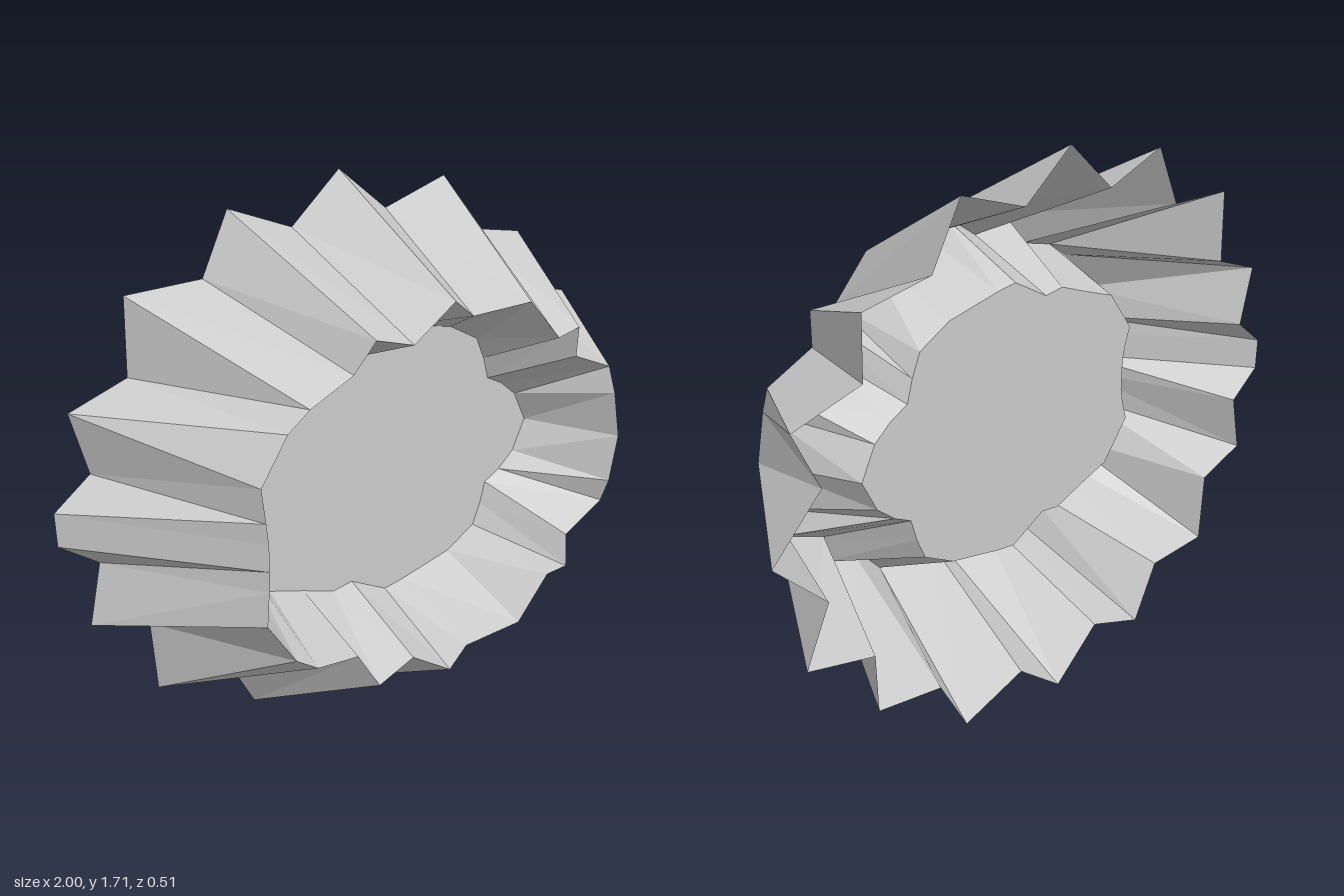
import * as THREE from 'three';

const MID = 0.855, BACK = -0.26, FLOOR = -0.06;

// Upper half, from the left tip over the top to the right tip:
// [outer x, y, rim x, y, z, floor x, y], y measured from the middle
const half = [
  [-1, 0.05, -0.645, 0.04, 0.24, -0.53, 0.05],
  [-0.885, 0.135, -0.65, 0.1, 0.24, -0.54, 0.1],
  [-0.93, 0.32, -0.66, 0.2, 0.24, -0.56, 0.16],
  [-0.75, 0.38, -0.58, 0.33, 0.25, -0.51, 0.225],
  [-0.74, 0.605, -0.51, 0.38, 0.25, -0.46, 0.29],
  [-0.5, 0.61, -0.345, 0.425, 0.215, -0.34, 0.33],
  [-0.41, 0.79, -0.3, 0.52, 0.255, -0.23, 0.37],
  [-0.2, 0.71, -0.17, 0.48, 0.25, -0.16, 0.36],
  [-0.03, 0.855, -0.03, 0.575, 0.255, -0.03, 0.43],
  [0.14, 0.72, 0.04, 0.52, 0.25, 0.04, 0.42],
  [0.37, 0.79, 0.26, 0.52, 0.25, 0.23, 0.38],
  [0.47, 0.61, 0.38, 0.39, 0.25, 0.34, 0.32],
  [0.695, 0.57, 0.48, 0.4, 0.235, 0.37, 0.25],
  [0.7, 0.39, 0.495, 0.3, 0.215, 0.39, 0.18],
  [0.92, 0.33, 0.66, 0.23, 0.205, 0.45, 0.15],
  [0.84, 0.16, 0.66, 0.15, 0.235, 0.51, 0.1],
  [1, 0, 0.685, 0, 0.24, 0.56, 0],
];

// Full loop: upper half, then its mirror image without the shared right tip
const mirrored = half.slice(0, -1).reverse().map(([a, b, c, d, z, e, f]) => [a, -b, c, -d, z, e, -f]);
const loop = [...half, ...mirrored];
const ring = (k, z) => loop.map(p => new THREE.Vector3(p[k], MID + p[k + 1], z(p)));

// Band of quads between two closed rings
function band(a, b) {
  const pts = [], n = a.length;
  for (let i = 0; i < n; i++) {
    const j = (i + 1) % n;
    pts.push(a[i], b[i], a[j], a[j], b[i], b[j]);
  }
  const geo = new THREE.BufferGeometry().setFromPoints(pts);
  geo.computeVertexNormals();
  return geo;
}

export function createModel() {
  const group = new THREE.Group();
  group.name = 'flutedCap';
  const material = new THREE.MeshStandardMaterial({ color: 0xcccccc, flatShading: true, side: THREE.DoubleSide });
  const add = (name, geo) => {
    const mesh = new THREE.Mesh(geo, material);
    mesh.name = name;
    group.add(mesh);
    return mesh;
  };

  const outer = ring(0, () => BACK);
  const rim = ring(2, p => p[4]);
  const inner = ring(5, () => FLOOR);

  // Flared pleated skirt, then the wall folding back in to the floor
  add('pleatedSkirt', band(rim, outer));
  add('innerWall', band(inner, rim));

  // Flat recessed floor
  const shape = new THREE.Shape(inner.map(p => new THREE.Vector2(p.x, p.y)));
  add('floor', new THREE.ShapeGeometry(shape)).position.z = FLOOR;

  return group;
}
